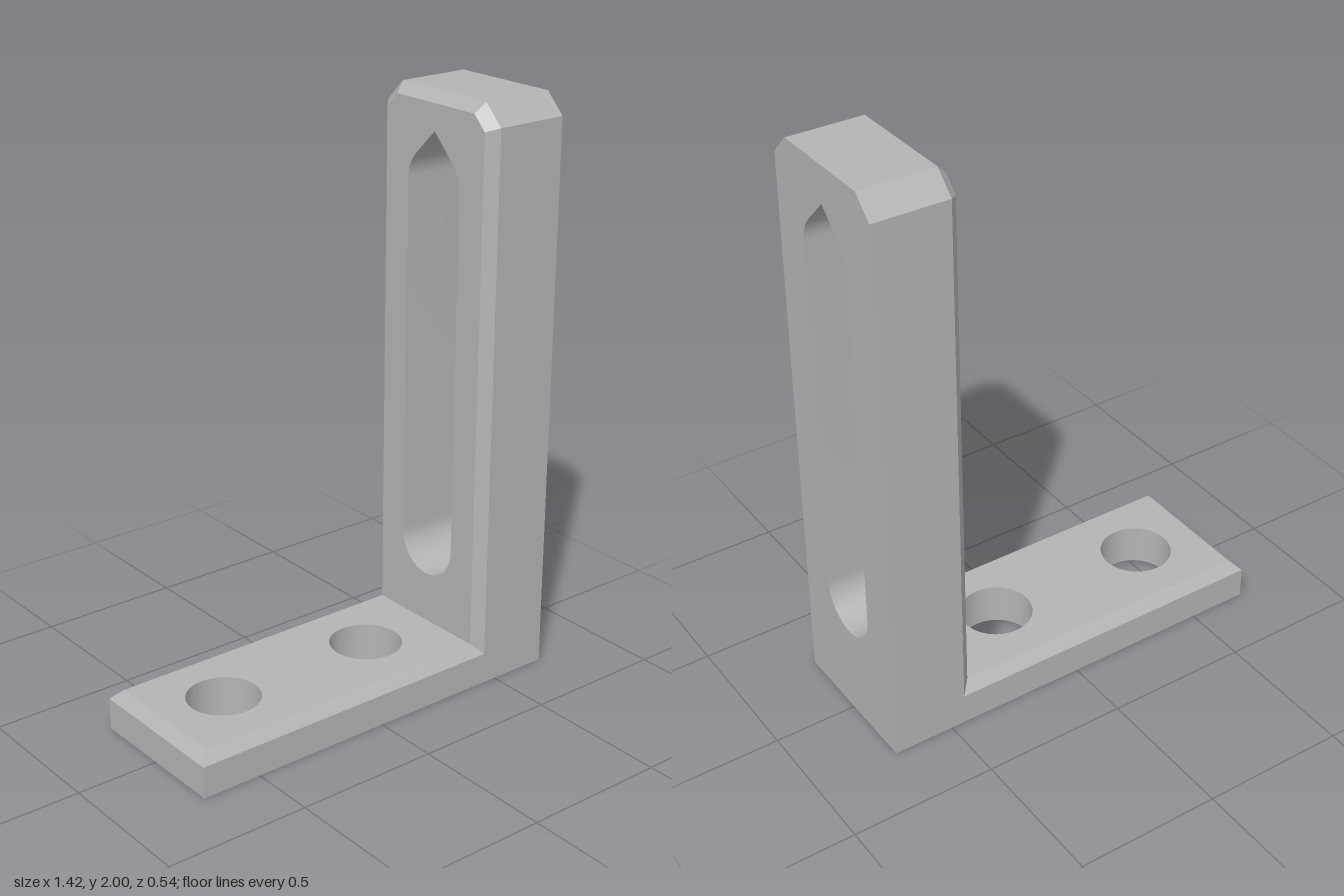
import * as THREE from 'three';
import { toCreasedNormals } from 'three/addons/utils/BufferGeometryUtils.js';

const HALF_X = 0.712;  // half the foot length
const HALF_W = 0.268;  // half the bracket width
const BEVEL = 0.035;   // edge bevel on the inner faces
const HOLE_R = 0.124;

// Clockwise arc in the plane of a leg.
function arc(cv, from, to, steps) {
  return Array.from({ length: steps + 1 }, (_, i) => {
    const a = from + (to - from) * i / steps;
    return new THREE.Vector2(HOLE_R * Math.cos(a), cv + HOLE_R * Math.sin(a));
  });
}

// Open outline of a leg: up one side, across the tip, down the other.
// "cut" clips the tip corners; "inset" moves the outline inwards.
function outline(start, length, cut, inset) {
  const w = HALF_W - inset, top = length - inset;
  const k = cut > 0 ? cut - inset * (2 - Math.SQRT2) : 0;
  const half = k > 0 ? [[w, start], [w, top - k], [w - k, top]] : [[w, start], [w, top]];
  const mirrored = half.map(([u, v]) => [-u, v]).reverse();
  return [...half, ...mirrored].map(([u, v]) => new THREE.Vector2(u, v));
}

// Leg in local axes: u across, v along, w from the outer face to the inner face.
function legGeometry({ length, depth, cut, sideStart, bevelStart, holes }) {
  const positions = [];
  const edge = depth - BEVEL;

  const strip = (a, wa, b, wb, closed) => {
    const n = closed ? a.length : a.length - 1;
    for (let i = 0; i < n; i++) {
      const j = (i + 1) % a.length;
      const p = [a[i].x, a[i].y, wa], q = [a[j].x, a[j].y, wa];
      const r = [b[j].x, b[j].y, wb], s = [b[i].x, b[i].y, wb];
      positions.push(...p, ...q, ...r, ...p, ...r, ...s);
    }
  };

  const face = (points, w, flip) => {
    const shape = new THREE.Shape(points);
    shape.holes = holes.map((h) => new THREE.Path(h));
    const geo = new THREE.ShapeGeometry(shape);
    const pos = geo.attributes.position, index = geo.index.array;
    for (let i = 0; i < index.length; i += 3) {
      for (const k of flip ? [0, 2, 1] : [0, 1, 2]) {
        positions.push(pos.getX(index[i + k]), pos.getY(index[i + k]), w);
      }
    }
  };

  const inner = outline(bevelStart + BEVEL, length, cut, BEVEL);
  const side = outline(sideStart, length, cut, 0);
  const rim = outline(bevelStart, length, cut, 0);
  face(outline(0, length, cut, 0), 0, true); // outer face
  face(inner, depth, false);                 // inner face
  strip(side, 0, side, edge, false);         // side walls
  strip(rim, edge, inner, depth, false);     // bevel
  holes.forEach((h) => strip(h, 0, h, depth, true)); // hole walls

  const geo = new THREE.BufferGeometry();
  geo.setAttribute('position', new THREE.Float32BufferAttribute(positions, 3));
  return geo;
}

export function createModel() {
  const model = new THREE.Group();
  model.name = 'angleBracket';
  const metal = new THREE.MeshStandardMaterial({ color: 0xb4b4b4 });
  metal.name = 'greyMetal';

  const footDepth = 0.145, uprightDepth = 0.297;

  const addLeg = (name, params, u, v, w, origin) => {
    const geo = legGeometry(params);
    geo.applyMatrix4(new THREE.Matrix4().makeBasis(u, v, w).setPosition(origin));
    const mesh = new THREE.Mesh(toCreasedNormals(geo, 0.4), metal);
    mesh.name = name;
    model.add(mesh);
  };
  const vec = (x, y, z) => new THREE.Vector3(x, y, z);
  const corner = vec(HALF_X, 0, 0);

  // Upright with clipped top corners and a slot: round below, pointed above
  const slot = [
    new THREE.Vector2(0, 1.7 + HOLE_R * Math.SQRT2),
    ...arc(1.7, Math.PI / 4, 0, 8),
    ...arc(0.446, 0, -Math.PI, 32),
    ...arc(1.7, Math.PI, Math.PI * 3 / 4, 8),
  ];
  addLeg('upright', {
    length: 2, depth: uprightDepth, cut: 0.07,
    sideStart: 0, bevelStart: footDepth - BEVEL, holes: [slot],
  }, vec(0, 0, 1), vec(0, 1, 0), vec(-1, 0, 0), corner);

  // Foot with two round screw holes
  const screwHoles = [0.148, -0.445].map((x) =>
    arc(HALF_X - x, 0, -Math.PI * 2, 64).slice(0, -1));
  addLeg('foot', {
    length: 2 * HALF_X, depth: footDepth, cut: 0,
    sideStart: uprightDepth - BEVEL, bevelStart: uprightDepth - BEVEL, holes: screwHoles,
  }, vec(0, 0, -1), vec(-1, 0, 0), vec(0, 1, 0), corner);

  return model;
}
